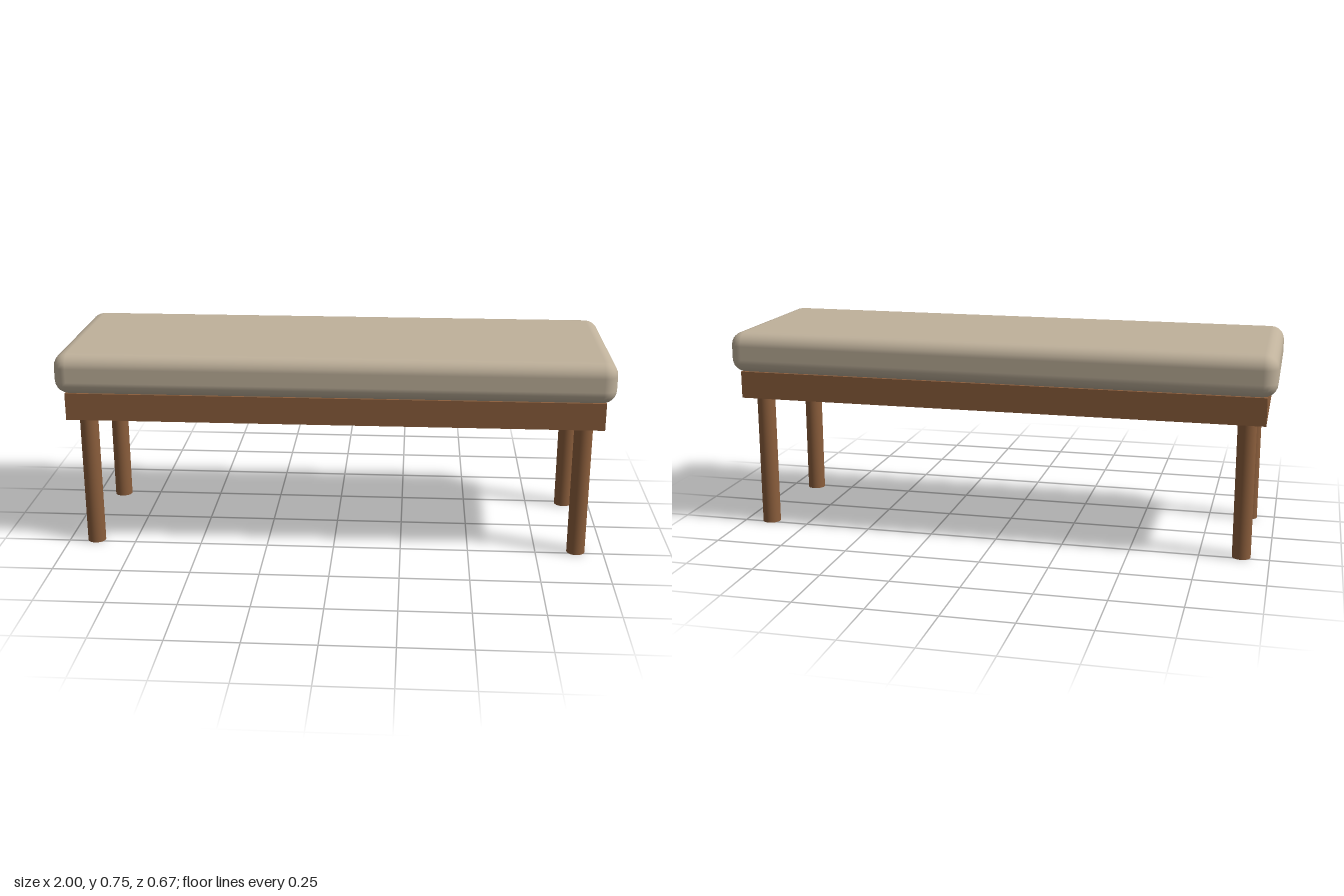
import * as THREE from 'three';
import { RoundedBoxGeometry } from 'three/addons/geometries/RoundedBoxGeometry.js';

export function createModel() {
  const bench = new THREE.Group();
  bench.name = 'bench';

  const wood = new THREE.MeshStandardMaterial({ color: 0x8b5e3c });
  const fabric = new THREE.MeshStandardMaterial({ color: 0xbfb19b });

  const add = (name, geometry, material, x, y, z) => {
    const mesh = new THREE.Mesh(geometry, material);
    mesh.name = name;
    mesh.position.set(x, y, z);
    bench.add(mesh);
  };

  // Padded seat with rounded edges
  add('cushion', new RoundedBoxGeometry(2, 0.15, 0.667, 3, 0.05), fabric, 0, 0.675, 0);

  // Solid wooden frame under the cushion
  add('frame', new THREE.BoxGeometry(1.933, 0.1, 0.6), wood, 0, 0.55, 0);

  // Four round legs
  const legGeometry = new THREE.CylinderGeometry(0.0333, 0.0333, 0.5, 32);
  for (const [side, x] of [['Left', 0.9], ['Right', -0.9]]) {
    for (const [end, z] of [['front', 0.233], ['back', -0.233]]) {
      add(`${end}${side}Leg`, legGeometry, wood, x, 0.25, z);
    }
  }

  return bench;
}
